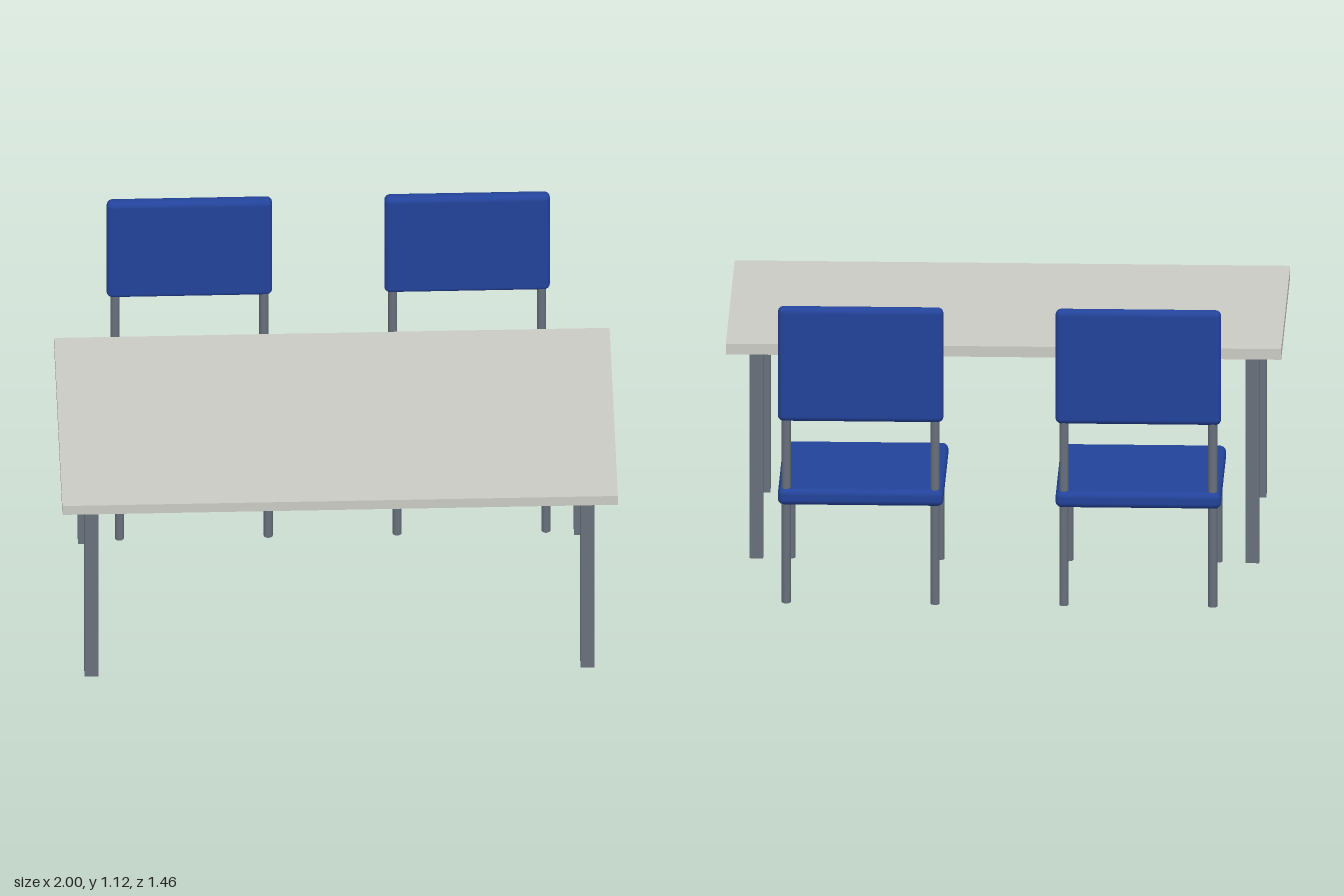
import * as THREE from 'three';
import { RoundedBoxGeometry } from 'three/addons/geometries/RoundedBoxGeometry.js';

const stone = new THREE.MeshStandardMaterial({ color: 0xcbcbc5 });
stone.name = 'pale grey top';
const steel = new THREE.MeshStandardMaterial({ color: 0x68707b });
steel.name = 'grey steel';
const blue = new THREE.MeshStandardMaterial({ color: 0x23439a });
blue.name = 'blue upholstery';

function add(parent, name, geometry, material, x, y, z) {
  const mesh = new THREE.Mesh(geometry, material);
  mesh.name = name;
  mesh.position.set(x, y, z);
  parent.add(mesh);
}

// Slab on four square legs, origin at its centre on the floor
function createTable() {
  const table = new THREE.Group();
  table.name = 'table';
  add(table, 'tableTop', new THREE.BoxGeometry(2, 0.04, 0.995), stone, 0, 0.815, 0);
  const leg = new THREE.BoxGeometry(0.05, 0.795, 0.05);
  for (const x of [-0.893, 0.893])
    for (const z of [-0.39, 0.395]) add(table, 'tableLeg', leg, steel, x, 0.3975, z);
  return table;
}

// Padded chair facing +z, origin under the seat centre
function createChair() {
  const chair = new THREE.Group();
  chair.name = 'chair';
  const width = 0.596, inset = 0.268, radius = 0.0165;
  add(chair, 'seat', new RoundedBoxGeometry(width, 0.061, width, 4, 0.022), blue, 0, 0.403, 0);
  add(chair, 'backrest', new RoundedBoxGeometry(width, 0.43, 0.046, 4, 0.021), blue, 0, 0.902, -0.27);
  const frontLeg = new THREE.CylinderGeometry(radius, radius, 0.4, 12);
  const backPost = new THREE.CylinderGeometry(radius, radius, 0.72, 12);
  for (const x of [-inset, inset]) {
    add(chair, 'frontLeg', frontLeg, steel, x, 0.2, inset);
    add(chair, 'backPost', backPost, steel, x, 0.36, -inset);
  }
  return chair;
}

export function createModel() {
  const model = new THREE.Group();
  model.name = 'table with two chairs';
  const table = createTable();
  table.position.z = 0.233;
  model.add(table);
  for (const x of [-0.5, 0.5]) {
    const chair = createChair();
    chair.position.set(x, 0, -0.432);
    model.add(chair);
  }
  return model;
}
